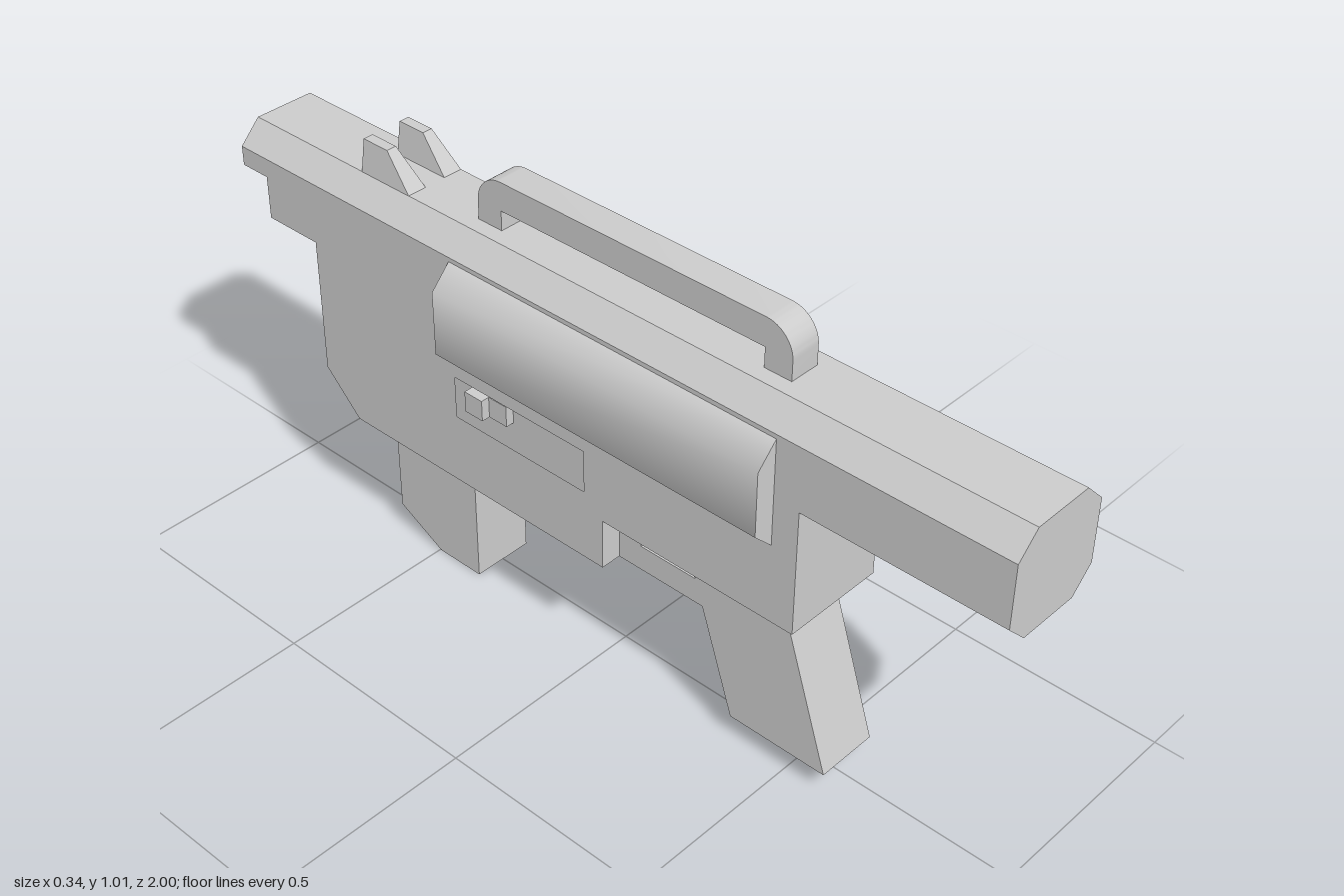
import * as THREE from 'three';
import { toCreasedNormals } from 'three/addons/utils/BufferGeometryUtils.js';

const grey = new THREE.MeshStandardMaterial({ color: 0xcccccc });

function outline(points, hole) {
  const toVecs = (list) => list.map(([a, b]) => new THREE.Vector2(a, b));
  const shape = new THREE.Shape(toVecs(points));
  if (hole) shape.holes.push(new THREE.Path(toVecs(hole)));
  return shape;
}

const extrude = (shape, depth) =>
  new THREE.ExtrudeGeometry(shape, { depth, bevelEnabled: false, curveSegments: 8 });

// Side profile given as (z, y), running from x0 to x1.
function sideways(shape, x0, x1) {
  return extrude(shape, x1 - x0).rotateY(-Math.PI / 2).translate(x1, 0, 0);
}

// Front cross-section given as (x, y), running from z0 to z1.
function lengthways(shape, z0, z1) {
  return extrude(shape, z1 - z0).translate(0, 0, z0);
}

const mirrored = (points) => [...points, ...points.map(([x, y]) => [-x, y]).reverse()];

export function createModel() {
  const model = new THREE.Group();
  const add = (name, geometry) => {
    const mesh = new THREE.Mesh(geometry, grey);
    mesh.name = name;
    model.add(mesh);
    return mesh;
  };

  // Octagonal upper tube, hollow at the rear with an overhanging hood
  const tube = mirrored([[0.072, 0.905], [0.122, 0.855], [0.122, 0.71], [0.072, 0.66]]);
  const bore = mirrored([[0.05, 0.868], [0.08, 0.84], [0.08, 0.73], [0.05, 0.70]]);
  const hood = mirrored([[0.072, 0.905], [0.122, 0.855], [0.122, 0.81], [0.08, 0.81], [0.08, 0.84], [0.05, 0.868]]);
  add('barrel', lengthways(outline(tube), -0.78, 1));
  add('rearSocket', lengthways(outline(tube, bore), -0.925, -0.78));
  add('rearHood', lengthways(outline(hood), -1, -0.925));

  // Receiver: a core between two panels that are cut out for the side slots
  const receiver = [[0.54, 0.71], [0.54, 0.417], [0.05, 0.417], [0.05, 0.297], [-0.685, 0.297], [-0.78, 0.39], [-0.78, 0.71]];
  const slot = [[0, 0.465], [-0.365, 0.465], [-0.365, 0.565], [0, 0.565]];
  add('receiverCore', sideways(outline(receiver), -0.08, 0.08));

  // Outer cover cross-section
  const cover = [[0.11, 0.845], [0.122, 0.845], [0.17, 0.795], [0.17, 0.647], [0.122, 0.6], [0.11, 0.6]];

  // Rear sight post profile
  const post = [[-0.525, 0.9], [-0.6, 0.977], [-0.67, 0.977], [-0.67, 0.9]];

  for (const side of [1, -1]) {
    const label = side > 0 ? 'left' : 'right';
    const [x0, x1] = side > 0 ? [0.08, 0.122] : [-0.122, -0.08];
    add(label + 'ReceiverPanel', sideways(outline(receiver, slot), x0, x1));

    // Stepped slider inside the slot
    add(label + 'SliderTall', new THREE.BoxGeometry(0.04, 0.05, 0.05).translate(side * 0.1, 0.515, -0.315));
    add(label + 'SliderLow', new THREE.BoxGeometry(0.02, 0.05, 0.05).translate(side * 0.09, 0.515, -0.265));

    const profile = outline(cover.map(([x, y]) => [x * side, y]));
    add(label + 'SideCover', toCreasedNormals(lengthways(profile, -0.365, 0.48), 0.9));

    // Sight posts narrow towards the top
    const sight = sideways(outline(post), -0.024, 0.024);
    const p = sight.attributes.position;
    for (let i = 0; i < p.count; i++) {
      const t = (p.getY(i) - 0.9) / 0.077;
      p.setX(i, p.getX(i) * (1 - 0.5 * t) + side * 0.049);
    }
    sight.computeVertexNormals();
    add(label + 'RearSight', sight);
  }

  // Carry handle with rounded outer corners
  const handle = new THREE.Shape();
  handle.moveTo(0.44, 0.9);
  handle.lineTo(0.44, 0.95);
  handle.absarc(0.375, 0.95, 0.065, 0, Math.PI / 2, false);
  handle.lineTo(-0.3, 1.015);
  handle.absarc(-0.3, 0.95, 0.065, Math.PI / 2, Math.PI, false);
  handle.lineTo(-0.365, 0.9);
  handle.lineTo(-0.3, 0.9);
  handle.lineTo(-0.3, 0.95);
  handle.lineTo(0.375, 0.95);
  handle.lineTo(0.375, 0.9);
  add('carryHandle', toCreasedNormals(sideways(handle, -0.036, 0.036), 0.6));

  // Slanted grip joined to the trigger guard
  const grip = [[0.48, 0.417], [0.6, 0.052], [0.357, 0.052], [0.275, 0.297], [0.06, 0.297],
    [0.06, 0.417], [0.11, 0.417], [0.11, 0.357], [0.255, 0.357], [0.235, 0.417]];
  add('gripAndGuard', sideways(outline(grip), -0.073, 0.073));
  add('guardPost', new THREE.BoxGeometry(0.146, 0.12, 0.02).translate(0, 0.357, 0.055));

  // Magazine with an angled rear foot
  const magazine = [[-0.375, 0.31], [-0.375, 0], [-0.497, 0], [-0.62, 0.065], [-0.62, 0.31]];
  add('magazine', sideways(outline(magazine), -0.073, 0.073));

  return model;
}
